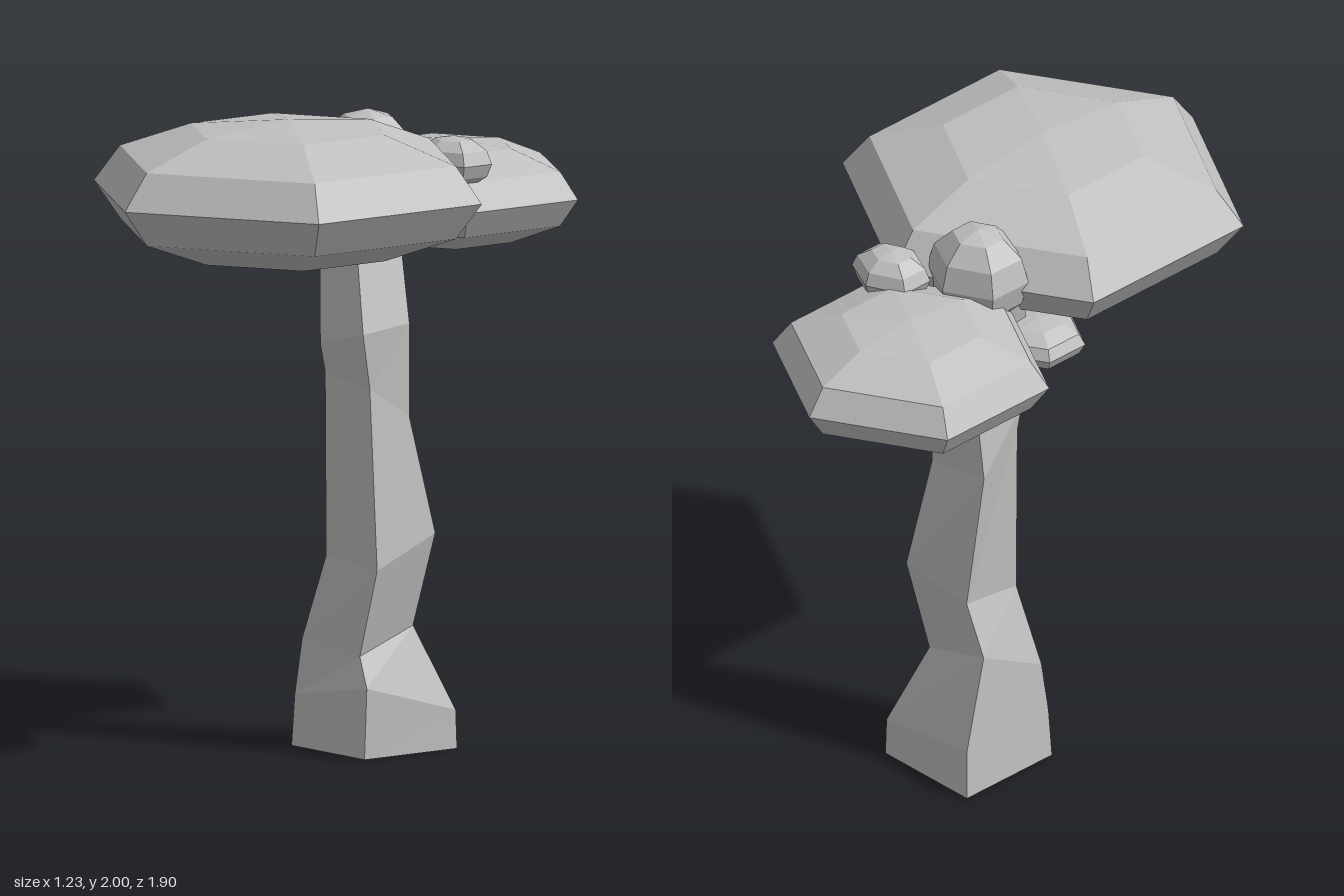
import * as THREE from 'three';

export function createModel() {
  const model = new THREE.Group();
  const stone = new THREE.MeshStandardMaterial({ color: 0xc0c0c0, flatShading: true });
  stone.name = 'pale grey';

  // Crooked four-sided trunk: corners of each ring run
  // front left, back left, back right, front right
  const rings = [
    [[0.115, 0, 0.06], [0.115, 0, -0.3], [-0.245, 0, -0.3], [-0.245, 0, 0.06]],
    [[0.12, 0.22, 0.055], [0.115, 0.12, -0.295], [-0.235, 0.16, -0.29], [-0.235, 0.16, 0.055]],
    [[0.035, 0.305, 0.015], [0.025, 0.38, -0.2], [-0.215, 0.45, -0.2], [-0.225, 0.33, 0.035]],
    [[0.095, 0.575, -0.005], [0.09, 0.67, -0.235], [-0.15, 0.62, -0.21], [-0.15, 0.595, 0]],
    [[0.04, 1.13, -0.02], [0.045, 1.03, -0.17], [-0.185, 1.07, -0.17], [-0.155, 1.16, 0]],
    [[0.045, 1.3, 0.01], [0.045, 1.32, -0.17], [-0.16, 1.25, -0.17], [-0.16, 1.25, 0.015]],
    [[-0.08, 1.7, -0.05], [-0.08, 1.7, -0.215], [-0.245, 1.7, -0.215], [-0.245, 1.7, -0.05]],
  ];
  const index = [];
  for (let r = 0; r < rings.length - 1; r++) {
    for (let i = 0; i < 4; i++) {
      const a = r * 4 + i, b = r * 4 + (i + 1) % 4;
      index.push(a, b, b + 4, a, b + 4, a + 4);
    }
  }
  // End faces
  const t = (rings.length - 1) * 4;
  index.push(0, 2, 1, 0, 3, 2, t, t + 1, t + 2, t, t + 2, t + 3);
  const trunkGeometry = new THREE.BufferGeometry();
  trunkGeometry.setAttribute('position', new THREE.Float32BufferAttribute(rings.flat(2), 3));
  trunkGeometry.setIndex(index);
  trunkGeometry.computeVertexNormals();
  const trunk = new THREE.Mesh(trunkGeometry, stone);
  trunk.name = 'trunk';
  model.add(trunk);

  // Flattened six-sided crowns, with corners pointing front and back
  const crownGeometry = new THREE.SphereGeometry(1, 6, 6).rotateY(Math.PI / 2);
  const addCrown = (name, position, scale) => {
    const crown = new THREE.Mesh(crownGeometry, stone);
    crown.name = name;
    crown.position.set(...position);
    crown.scale.set(...scale);
    model.add(crown);
    return crown;
  };
  addCrown('largeCrown', [0.06, 1.775, 0.315], [0.64, 0.225, 0.635]);
  addCrown('backCrown', [-0.232, 1.658, -0.525], [0.447, 0.168, 0.43]);
  addCrown('lowerTuft', [-0.265, 1.555, -0.02], [0.153, 0.07, 0.15]);
  addCrown('upperTuft', [-0.155, 1.8, -0.167], [0.168, 0.16, 0.15]);
  addCrown('sideTuft', [0.03, 1.8, -0.357], [0.135, 0.08, 0.108]);

  return model;
}
